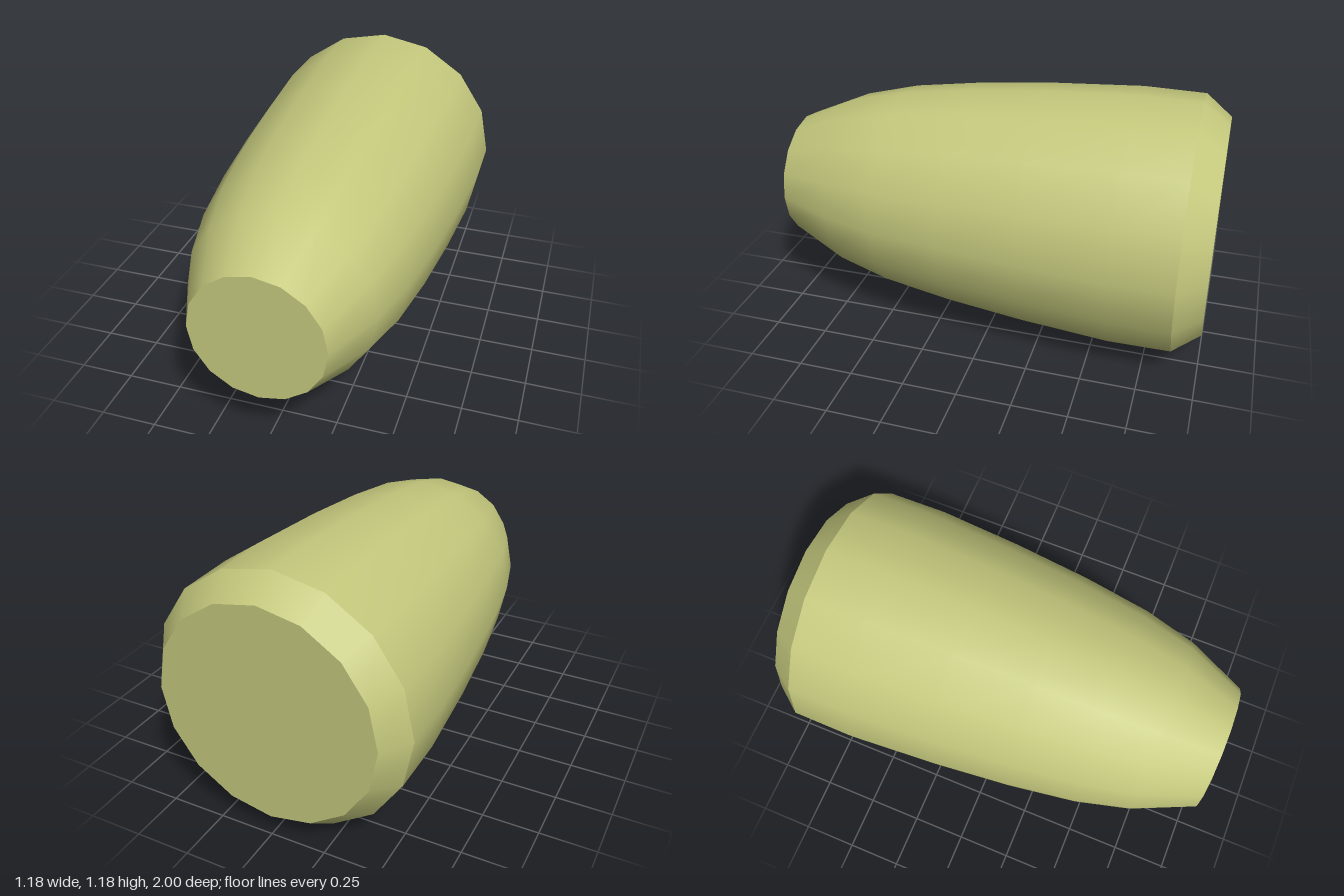
import * as THREE from 'three';

const SIDES = 16;
const CENTRE_Y = 0.59;

export function createModel() {
  const group = new THREE.Group();
  group.name = 'taperedPlug';
  const material = new THREE.MeshStandardMaterial({ color: 0xc4c87c });

  const add = (name, geometry, z = 0) => {
    const mesh = new THREE.Mesh(geometry, material);
    mesh.name = name;
    mesh.position.set(0, CENTRE_Y, z);
    group.add(mesh);
  };

  // Turned surface along z from [z, radius] pairs, ordered back to front
  const turned = (profile) => new THREE.LatheGeometry(
    profile.map(([z, r]) => new THREE.Vector2(r, z)), SIDES).rotateX(Math.PI / 2);

  // Smooth tapering body
  add('body', turned([
    [-0.88, 0.587], [-0.6, 0.59], [-0.2, 0.563], [0.16, 0.527],
    [0.48, 0.48], [0.73, 0.415], [1, 0.294],
  ]));

  // Bevelled rear rim, separate so its edge stays sharp
  add('rearBevel', turned([[-1, 0.495], [-0.88, 0.587]]));

  // Flat end caps
  add('frontCap', new THREE.CircleGeometry(0.294, SIDES), 1);
  add('rearCap', new THREE.CircleGeometry(0.495, SIDES).rotateY(Math.PI), -1);

  return group;
}
